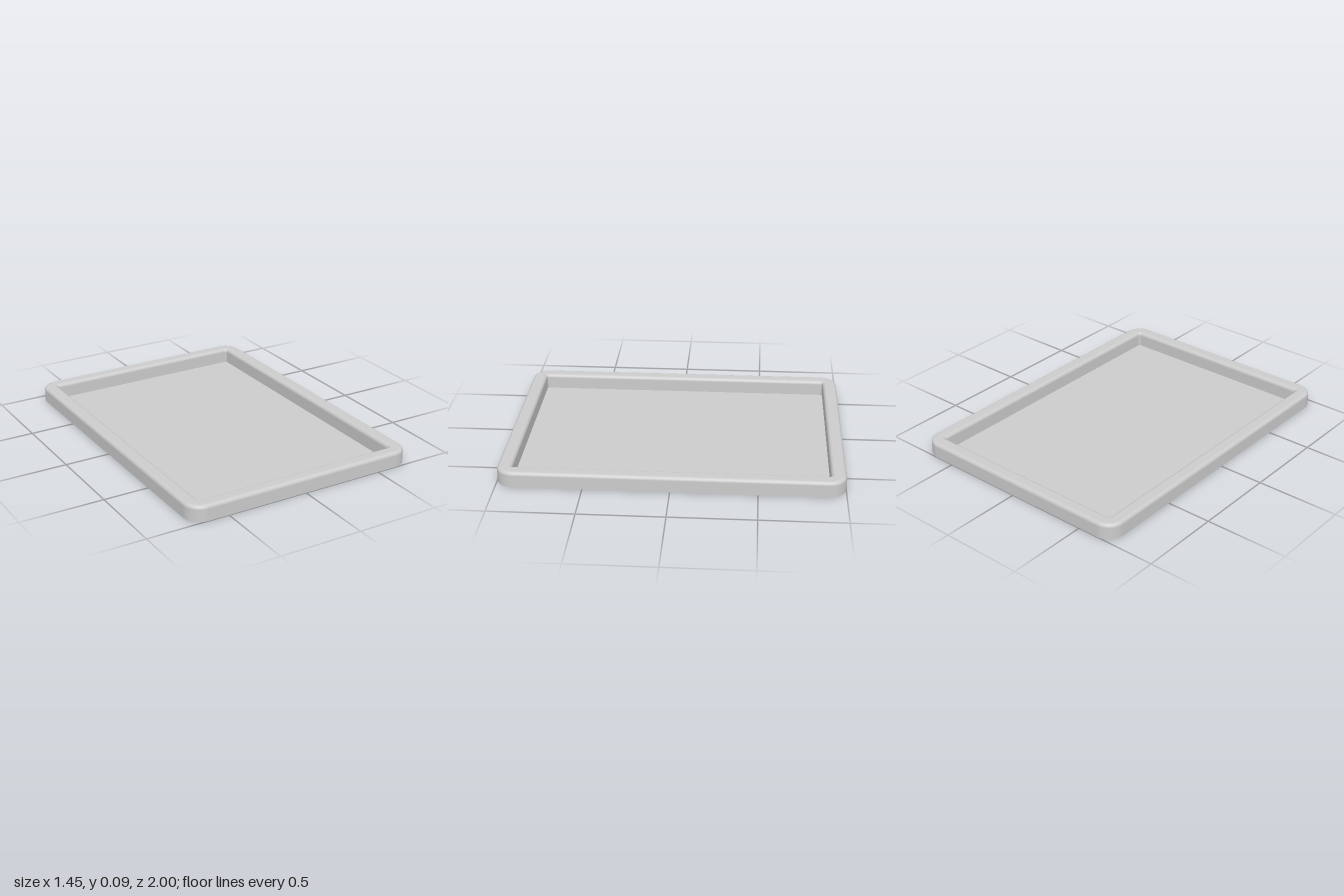
import * as THREE from 'three';

const HALF_X = 0.727, HALF_Z = 1, HEIGHT = 0.094;
const CORNER = 0.1;      // outer corner radius in plan
const RIM = 0.087;       // width of the rim
const FILLET = 0.022;    // rounding of the rim's top edges
const ARC = 12, FILLET_STEPS = 8;

// Rounded rectangle in plan, inset from the outer edge, with outward directions
function outline(inset) {
  const points = [];
  const r = CORNER - inset;
  [[1, 1], [-1, 1], [-1, -1], [1, -1]].forEach(([sx, sz], k) => {
    for (let i = 0; i <= ARC; i++) {
      const a = (k + i / ARC) * Math.PI / 2;
      const nx = Math.cos(a), nz = Math.sin(a);
      points.push({
        x: sx * (HALF_X - CORNER) + r * nx,
        z: sz * (HALF_Z - CORNER) + r * nz,
        nx, nz,
      });
    }
  });
  return points;
}

// Cross-section of the hollow rim: outer wall, rounded top, inner wall
function rimProfile() {
  const profile = [{ inset: 0, y: 0, a: 0 }];
  for (const side of [0, 1]) {
    const centre = side ? RIM - FILLET : FILLET;
    for (let i = 0; i <= FILLET_STEPS; i++) {
      const a = (side + i / FILLET_STEPS) * Math.PI / 2;
      profile.push({
        inset: centre - FILLET * Math.cos(a),
        y: HEIGHT - FILLET + FILLET * Math.sin(a),
        a,
      });
    }
  }
  profile.push({ inset: RIM, y: 0, a: Math.PI });
  return profile;
}

// Sweep the cross-section round the outline
function rimGeometry() {
  const profile = rimProfile();
  const position = [], normal = [], index = [];
  const n = 4 * (ARC + 1);
  profile.forEach(({ inset, y, a }, row) => {
    outline(inset).forEach((p, i) => {
      position.push(p.x, y, p.z);
      normal.push(p.nx * Math.cos(a), Math.sin(a), p.nz * Math.cos(a));
      if (row < profile.length - 1) {
        const j = (i + 1) % n;
        const b = row * n, t = b + n;
        index.push(b + i, t + i, t + j, b + i, t + j, b + j);
      }
    });
  });
  const geometry = new THREE.BufferGeometry();
  geometry.setAttribute('position', new THREE.Float32BufferAttribute(position, 3));
  geometry.setAttribute('normal', new THREE.Float32BufferAttribute(normal, 3));
  geometry.setIndex(index);
  return geometry;
}

export function createModel() {
  const group = new THREE.Group();
  group.name = 'tray';
  const material = new THREE.MeshStandardMaterial({ color: 0xcccccc, side: THREE.DoubleSide });

  // Rim, open underneath
  const rim = new THREE.Mesh(rimGeometry(), material);
  rim.name = 'rim';
  group.add(rim);

  // Thin floor panel joining the foot of the inner wall
  const shape = new THREE.Shape(outline(RIM).map((p) => new THREE.Vector2(p.x, p.z)));
  const floor = new THREE.Mesh(new THREE.ShapeGeometry(shape).rotateX(-Math.PI / 2), material);
  floor.name = 'floor';
  group.add(floor);

  return group;
}
